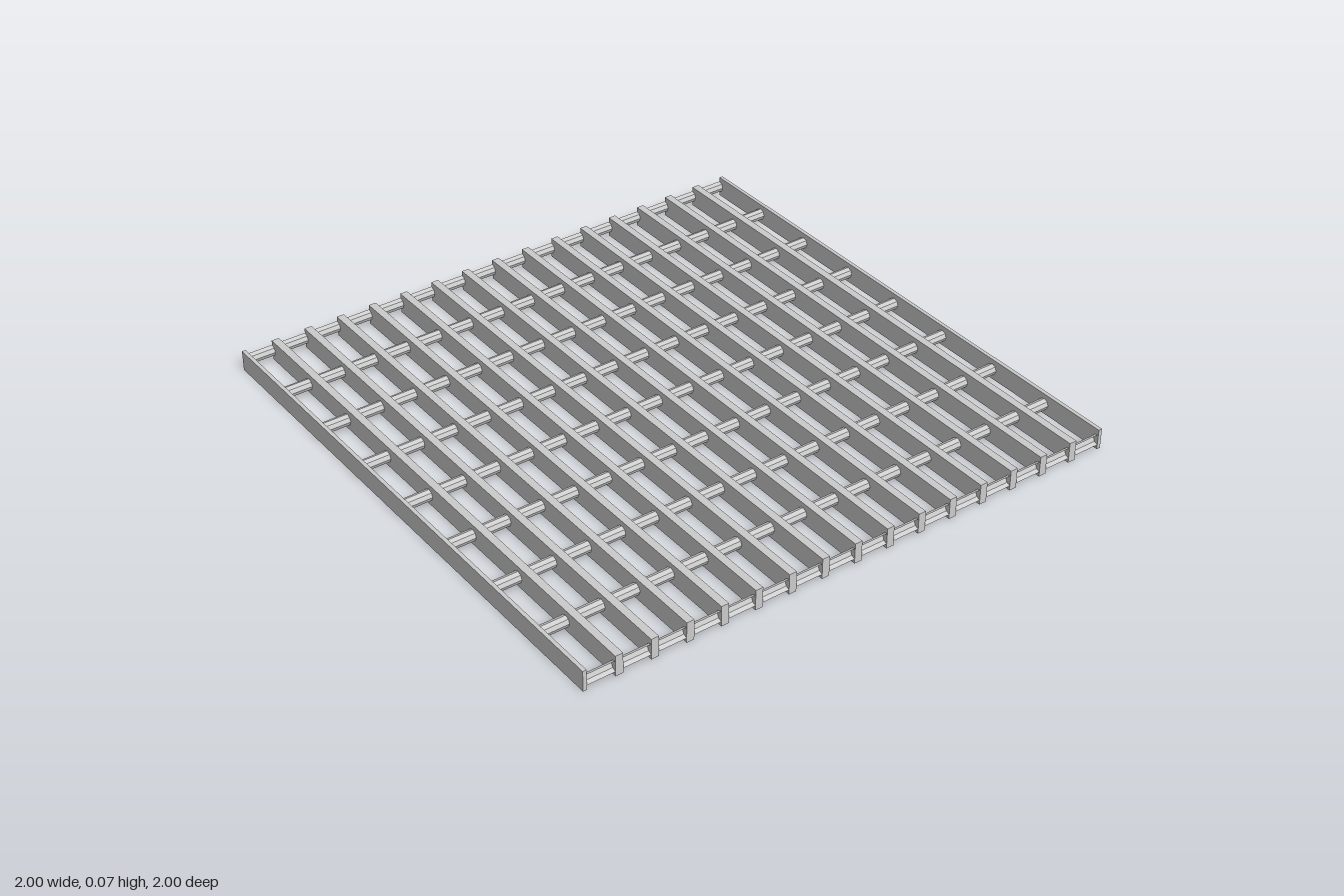
import * as THREE from 'three';

const HEIGHT = 0.074;
const BAR = 0.027;
const ROD_RADIUS = 0.02;

export function createModel() {
  const group = new THREE.Group();
  const material = new THREE.MeshStandardMaterial({ color: 0xcccccc, flatShading: true });
  const openMaterial = material.clone();
  openMaterial.side = THREE.DoubleSide;

  const add = (name, geometry, x, z, mat = material) => {
    const mesh = new THREE.Mesh(geometry, mat);
    mesh.name = name;
    mesh.position.set(x, HEIGHT / 2, z);
    group.add(mesh);
  };

  // Upright bearing bars across the width; the two outermost are half as thick
  const bar = new THREE.BoxGeometry(2, HEIGHT, BAR);
  const endBar = new THREE.BoxGeometry(2, HEIGHT, BAR / 2);
  for (let i = -8; i <= 8; i++) {
    if (Math.abs(i) === 8) add('endBar', endBar, 0, Math.sign(i) * (1 - BAR / 4));
    else add('bearingBar', bar, 0, i / 8);
  }

  // Octagonal cross rods running front to back
  const rodGeometry = (sides, start, length) =>
    new THREE.CylinderGeometry(ROD_RADIUS, ROD_RADIUS, 2 - BAR / 2, sides, 1, sides < 8, start, length)
      .rotateX(-Math.PI / 2);
  const rod = rodGeometry(8, 0, Math.PI * 2);
  for (let i = -3; i <= 3; i++) add('crossRod', rod, i / 4, 0);

  // Side rods are open halves cut flush with the bar ends
  add('rightSideRod', rodGeometry(4, 0, Math.PI), -1, 0, openMaterial);
  add('leftSideRod', rodGeometry(4, Math.PI, Math.PI), 1, 0, openMaterial);

  return group;
}
